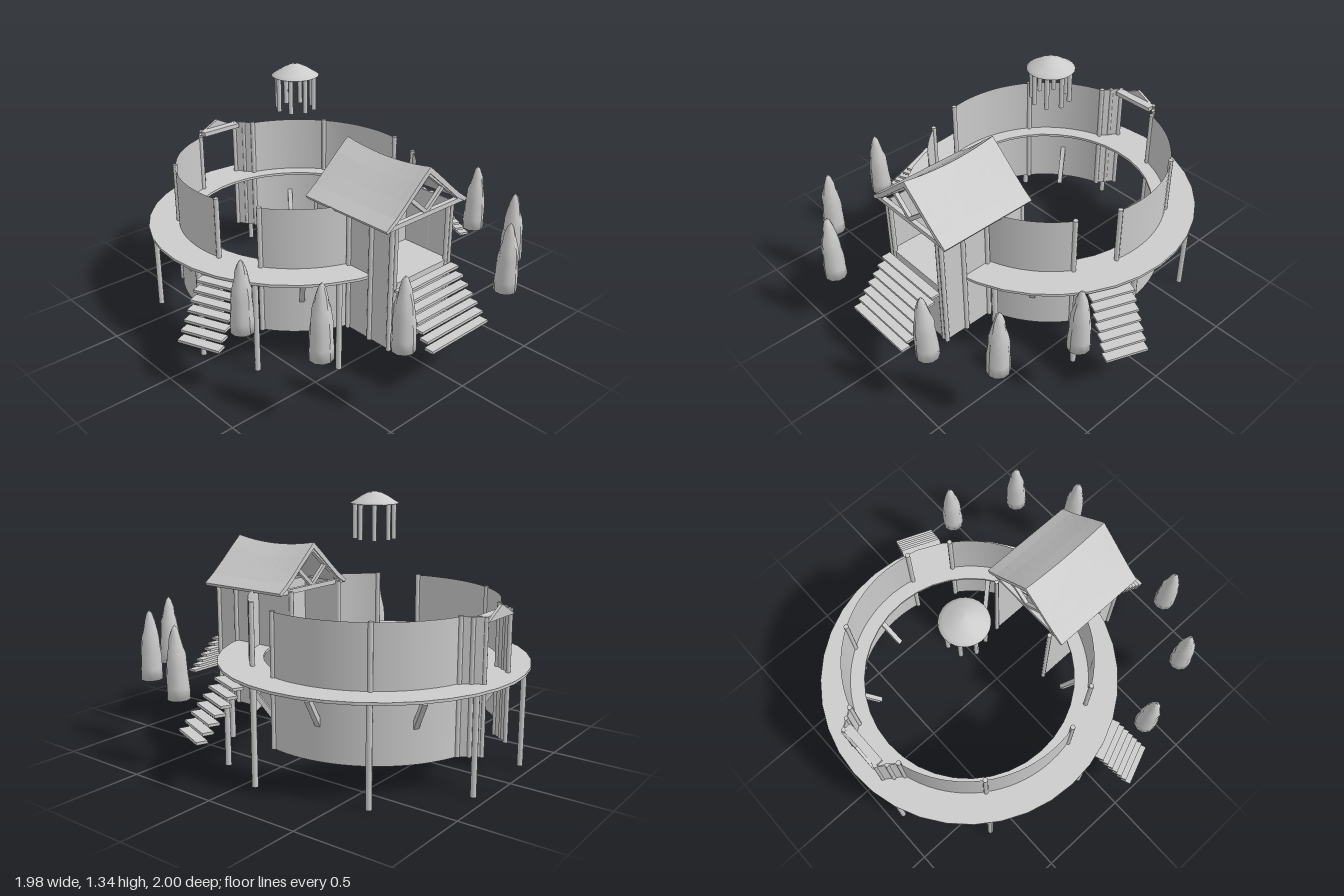
import * as THREE from 'three';

const RAD = Math.PI / 180;
const CZ = -0.2;                       // centre of the ring in z
const WALL_R = 0.64, BASE = 0.15, TOP = 0.82, DECK = 0.505;
const material = new THREE.MeshStandardMaterial({ color: 0xcccccc });
const thin = new THREE.MeshStandardMaterial({ color: 0xcccccc, side: THREE.DoubleSide });

export function createModel() {
  const model = new THREE.Group();
  const sides = [1, -1];

  function add(name, geometry, x = 0, y = 0, z = 0, mat = material) {
    const mesh = new THREE.Mesh(geometry, mat);
    mesh.name = name;
    mesh.position.set(x, y, z);
    model.add(mesh);
    return mesh;
  }
  const box = (name, w, h, d, x, y, z) => add(name, new THREE.BoxGeometry(w, h, d), x, y, z);
  const post = (name, x, z, y0, y1, r = 0.013) =>
    add(name, new THREE.CylinderGeometry(r, r, y1 - y0, 8), x, (y0 + y1) / 2, z);
  // Square bar running between two points
  function beam(name, a, b, w, h) {
    const p = new THREE.Vector3(...a), q = new THREE.Vector3(...b);
    const mid = p.clone().add(q).multiplyScalar(0.5);
    const mesh = box(name, w, h, p.distanceTo(q), mid.x, mid.y, mid.z);
    mesh.lookAt(q);
    return mesh;
  }
  // Thin upright panel between two points on the ground plan
  function panel(name, x0, z0, x1, z1, y0, y1) {
    return beam(name, [x0, (y0 + y1) / 2, z0], [x1, (y0 + y1) / 2, z1], 0.006, y1 - y0);
  }
  // Point on a circle about the ring centre, angle from +x towards +z
  const polar = (r, deg) => [r * Math.cos(deg * RAD), CZ + r * Math.sin(deg * RAD)];

  // Ring deck
  const ring = new THREE.Shape().absarc(0, 0, 0.8, 0, Math.PI * 2, false);
  ring.holes.push(new THREE.Path().absarc(0, 0, 0.565, 0, Math.PI * 2, true));
  const deck = new THREE.ExtrudeGeometry(ring, { depth: 0.014, bevelEnabled: false, curveSegments: 18 });
  deck.rotateX(-Math.PI / 2);
  add('deck', deck, 0, DECK - 0.014, CZ);

  for (const s of sides) {
    // Curved walls, with a gap for the side doorway
    for (const [a0, a1] of [[33, 72], [-73, 12]]) {
      const start = s > 0 ? 90 - a1 : a0 - 90;
      add('curvedWall', new THREE.CylinderGeometry(WALL_R, WALL_R, TOP - BASE, Math.ceil((a1 - a0) / 4), 1, true,
        start * RAD, (a1 - a0) * RAD), 0, (TOP + BASE) / 2, CZ, thin);
    }
    for (const a of [33, 12, -34, -73]) {
      const [x, z] = polar(WALL_R, a);
      post('wallPost', s * x, z, BASE, TOP + 0.005);
    }
    // Legs under the rim
    for (const a of [10.5, 34, 64, -34, -72]) {
      const [x, z] = polar(0.77, a);
      post('leg', s * x, z, 0, 0.495, 0.015);
    }
    // Slanted braces passing through the wall
    for (const a of [51, -12, -53]) {
      const [x0, z0] = polar(0.52, a), [x1, z1] = polar(0.735, a);
      beam('brace', [s * x0, 0.175, z0], [s * x1, 0.475, z1], 0.026, 0.026);
    }
    // Side stairs
    for (let i = 0; i < 7; i++) {
      const [x, z] = polar(0.995 - i * 0.031, 22);
      const step = box('sideStep', 0.055, 0.014, 0.225, s * x, 0.25 + i * 0.0375, z);
      step.rotation.y = -s * 22 * RAD;
    }
    // Back vestibule: splayed panel and posts
    panel('vestibuleWall', s * 0.187, -0.812, s * 0.125, -0.905, BASE, TOP);
    post('vestibulePost', s * 0.157, -0.86, BASE, TOP, 0.011);
    post('backDoorPost', s * 0.12, -0.905, BASE, TOP, 0.012);
    // Porch side walls and posts
    panel('porchWall', s * 0.2, 0.18, s * 0.2, 0.7, BASE, TOP);
    for (const [x, z] of [[0.207, 0.7], [0.182, 0.7], [0.207, 0.57], [0.207, 0.42], [0.2, 0.18]])
      post('porchPost', s * x, z, BASE, TOP, 0.012);
  }

  // Back door lintel and small gable
  box('backLintel', 0.245, 0.025, 0.05, 0, 0.807, -0.885);
  const tri = new THREE.Shape([[-0.128, 0.795], [0.128, 0.795], [0, 0.86]].map(p => new THREE.Vector2(...p)));
  add('backGable', new THREE.ExtrudeGeometry(tri, { depth: 0.015, bevelEnabled: false }), 0, 0, -0.922);

  // Porch floor, rear panel and lower front panel
  box('porchFloor', 0.4, 0.014, 0.29, 0, DECK - 0.007, 0.56);
  panel('porchRearPanel', -0.2, 0.42, 0.2, 0.42, BASE, TOP);
  panel('porchFrontPanel', -0.2, 0.7, 0.2, 0.7, BASE, DECK);

  // Porch roof: chevron section, ridge sagging in the middle
  const chevron = [[0, 1.055], [0.07, 0.995], [0.15, 0.922], [0.22, 0.862], [0.28, 0.818],
    [0.27, 0.802], [0.21, 0.838], [0.14, 0.9], [0.06, 0.97], [0, 1.022]];
  const left = chevron.slice(1, -1).reverse().map(([x, y]) => [-x, y]);
  const section = [...chevron, ...left].map(p => new THREE.Vector2(...p));
  const Z0 = 0.19, Z1 = 0.73;
  const roof = new THREE.ExtrudeGeometry(new THREE.Shape(section),
    { depth: Z1 - Z0, steps: 10, bevelEnabled: false });
  const rp = roof.attributes.position;
  for (let i = 0; i < rp.count; i++) {
    const t = rp.getZ(i) / (Z1 - Z0) * 2 - 1;
    rp.setY(i, rp.getY(i) - 0.026 * (1 - t * t) * Math.max(0, (rp.getY(i) - 0.82) / 0.23));
  }
  roof.computeVertexNormals();
  add('porchRoof', roof, 0, 0, Z0);

  // Gable trusses at both ends
  for (const z of [Z0 + 0.02, Z1 - 0.02]) {
    beam('tieBeam', [-0.25, 0.815, z], [0.25, 0.815, z], 0.025, 0.024);
    for (const s of sides) {
      beam('rafter', [s * 0.262, 0.81, z], [0, 1.022, z], 0.028, 0.026);
      beam('strut', [0, 0.825, z], [s * 0.115, 0.925, z], 0.02, 0.02);
    }
  }

  // Front stairs
  for (let i = 0; i < 7; i++)
    box('frontStep', 0.405, 0.014, 0.05, 0, 0.265 + i * 0.0365, 0.945 - i * 0.033);

  // Floating lantern: shallow dome on a circle of posts
  const dome = [[0, 1.342], [0.03, 1.337], [0.065, 1.32], [0.1, 1.298], [0.122, 1.284], [0.115, 1.28], [0, 1.288]];
  add('lanternRoof', new THREE.LatheGeometry(dome.reverse().map(p => new THREE.Vector2(...p)), 24), 0, 0, CZ, thin);
  for (let i = 0; i < 8; i++) {
    const [x, z] = polar(0.097, 10 + i * 45);
    post('lanternPost', x, z, 1.105, 1.287, 0.012);
  }

  // Lumpy conical trees with flat undersides
  const profile = [[0, 0.36], [0.058, 0.36], [0.057, 0.42], [0.054, 0.48], [0.05, 0.54], [0.045, 0.59],
    [0.034, 0.63], [0.027, 0.67], [0.015, 0.71], [0, 0.73]].map(p => new THREE.Vector2(...p));
  const spots = [[-0.81, 0.35], [-0.69, 0.75], [-0.38, 0.945], [0.37, 0.935], [0.66, 0.755], [0.81, 0.385]];
  spots.forEach(([x, z], k) => {
    const tree = new THREE.LatheGeometry(profile, 10);
    const p = tree.attributes.position;
    for (let i = 0; i < p.count; i++) {
      const a = Math.atan2(p.getZ(i), p.getX(i)), y = p.getY(i), up = (y - 0.36) / 0.37;
      const f = 1 + 0.12 * up * Math.sin(3 * a + y * 40 + k * 2);
      p.setX(i, p.getX(i) * f + 0.008 * up * Math.sin(k * 1.7));
      p.setZ(i, p.getZ(i) * f + 0.008 * up * Math.cos(k * 2.3));
    }
    tree.computeVertexNormals();
    add('tree', tree, x, 0, z, thin);
  });

  return model;
}
